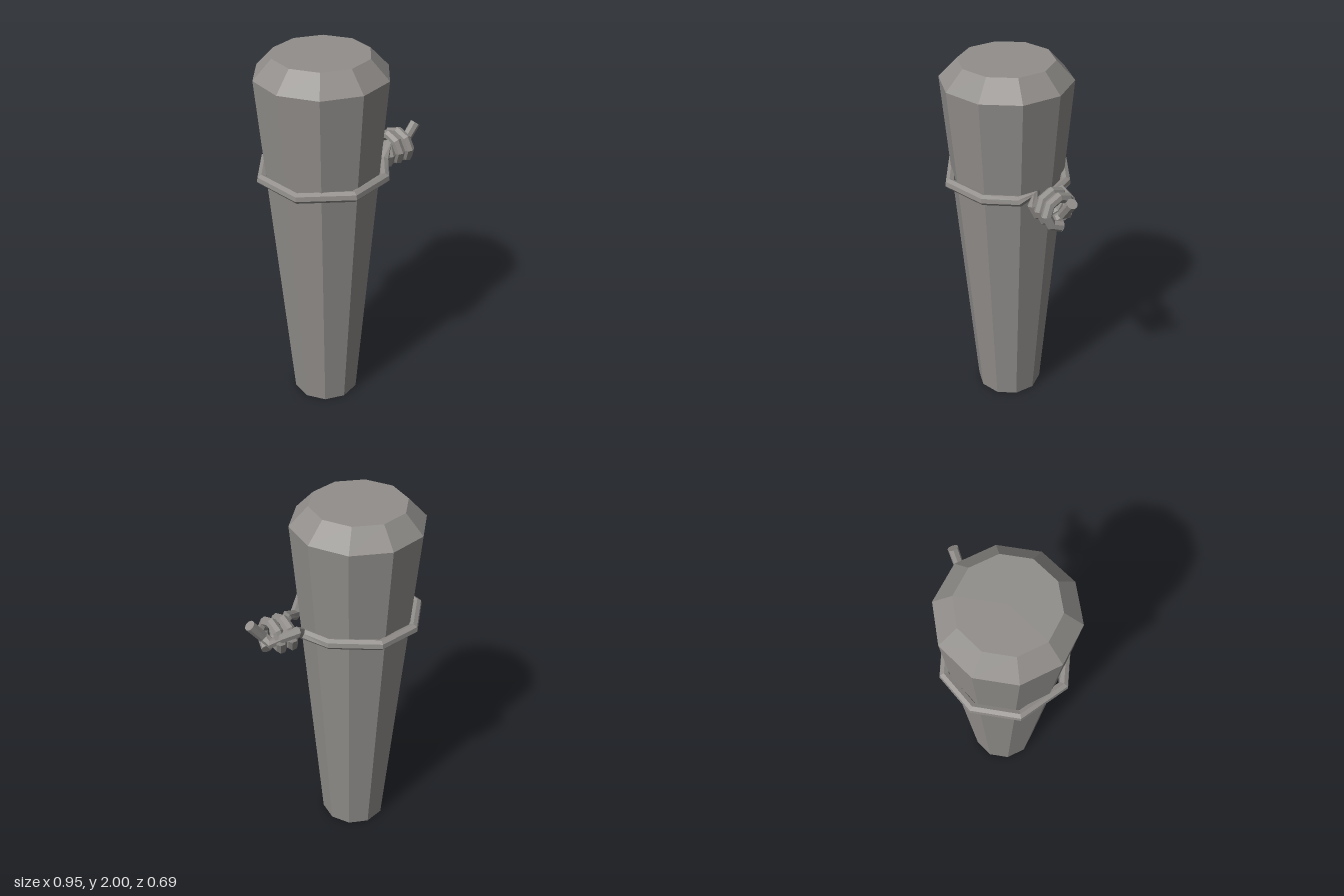
import * as THREE from 'three';

// Curve that passes straight from point to point, for a faceted sweep
class Polyline extends THREE.Curve {
  constructor(points) { super(); this.points = points; }
  getPointAt(u, target = new THREE.Vector3()) {
    const n = this.points.length - 1;
    return target.copy(this.points[Math.round(u * n)]);
  }
  getTangentAt(u, target = new THREE.Vector3()) {
    const p = this.points, n = p.length - 1, i = Math.round(u * n);
    target.set(0, 0, 0);
    if (i > 0) target.add(p[i].clone().sub(p[i - 1]).normalize());
    if (i < n) target.add(p[i + 1].clone().sub(p[i]).normalize());
    return target.normalize();
  }
}

export function createModel() {
  const group = new THREE.Group();
  const grey = new THREE.MeshStandardMaterial({ color: 0x918e8b, flatShading: true, side: THREE.DoubleSide });
  grey.name = 'weathered grey';
  const add = (name, geometry) => {
    const mesh = new THREE.Mesh(geometry, grey);
    mesh.name = name;
    group.add(mesh);
    return mesh;
  };

  const cx = -0.14, ropeY = 1.38, ropeR = 0.028, sides = 7;

  // Tapered post, open underneath, with a bevelled flat top
  add('postShaft', new THREE.CylinderGeometry(0.34, 0.18, 1.9, 10, 1, true)).position.set(cx, 0.95, 0);
  add('postBevel', new THREE.CylinderGeometry(0.245, 0.34, 0.1, 10, 1, true)).position.set(cx, 1.95, 0);
  const top = add('postTop', new THREE.CircleGeometry(0.245, 10, Math.PI / 2));
  top.rotation.x = -Math.PI / 2;
  top.position.set(cx, 2, 0);

  // Free tail, leading behind the knot
  const path = [
    [0.455, 1.475, 0], [0.385, 1.385, 0], [0.36, 1.36, -0.035],
    [0.32, 1.41, -0.08], [0.24, 1.42, -0.085], [0.2, 1.385, -0.06],
  ].map((p) => new THREE.Vector3(...p));

  // Loop around the post, from the back to the front
  for (const deg of [53, 6.5, -32.6, -75, -123, -173.4, -217, -250]) {
    const a = THREE.MathUtils.degToRad(deg);
    path.push(new THREE.Vector3(cx + 0.322 * Math.sin(a), ropeY, -0.322 * Math.cos(a)));
  }

  // Coils wound around the tail
  const perTurn = 8, turns = 2.5;
  for (let i = 1; i <= perTurn * turns; i++) {
    const a = (i / perTurn) * Math.PI * 2;
    path.push(new THREE.Vector3(
      0.215 + 0.062 * (i / perTurn),
      ropeY + 0.073 * Math.cos(a),
      0.078 * Math.sin(a)));
  }

  const curve = new Polyline(path);
  add('rope', new THREE.TubeGeometry(curve, path.length - 1, ropeR, sides, false));

  // Cut ends of the rope
  [[path[0], path[1]], [path.at(-1), path.at(-2)]].forEach(([end, inner], i) => {
    const cap = add(i ? 'coilEnd' : 'tailEnd', new THREE.CircleGeometry(ropeR, 14));
    cap.position.copy(end);
    cap.lookAt(end.clone().multiplyScalar(2).sub(inner));
  });

  return group;
}
